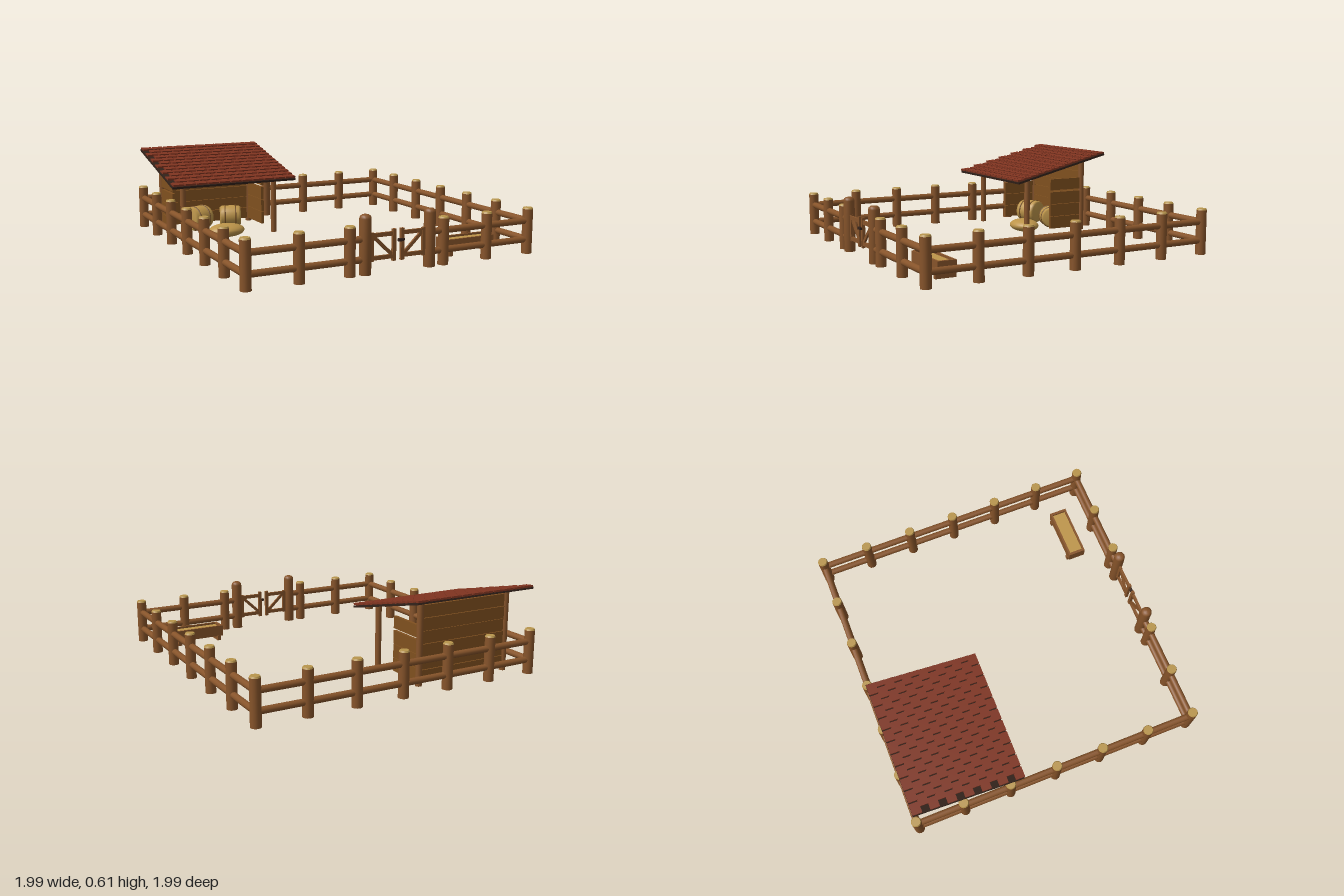
import * as THREE from 'three';

const mat = (name, color) => {
  const m = new THREE.MeshStandardMaterial({ color });
  m.name = name;
  return m;
};

export function createModel() {
  const wood = mat('wood', 0x87542a);
  const plankWood = mat('plankWood', 0x80501f);
  const cutWood = mat('cutWood', 0xb8954c);
  const straw = mat('straw', 0xbd954a);
  const twine = mat('twine', 0x7a5426);
  const tileRed = mat('tileRed', 0x803420);
  const darkWood = mat('darkWood', 0x33221a);

  const model = new THREE.Group();
  model.name = 'paddock';
  const group = (name, parent = model) => {
    const g = new THREE.Group();
    g.name = name;
    parent.add(g);
    return g;
  };
  const add = (parent, name, geo, material, x = 0, y = 0, z = 0) => {
    const m = new THREE.Mesh(geo, material);
    m.name = name;
    m.position.set(x, y, z);
    parent.add(m);
    return m;
  };
  const box = (parent, name, material, w, h, d, x, y, z) =>
    add(parent, name, new THREE.BoxGeometry(w, h, d), material, x, y, z);
  // Round pole between two points
  const pole = (parent, name, a, b, r, material = wood) => {
    const p = new THREE.Vector3(...a), q = new THREE.Vector3(...b);
    const dir = q.clone().sub(p);
    const m = add(parent, name, new THREE.CylinderGeometry(r, r, dir.length(), 12), material);
    m.position.copy(p).add(q).multiplyScalar(0.5);
    m.quaternion.setFromUnitVectors(new THREE.Vector3(0, 1, 0), dir.normalize());
    return m;
  };

  const GROUND = 0.04, EDGE = 0.96;

  // Fence posts with pale cut tops
  const fence = group('fence');
  const fencePost = (x, z) => {
    pole(fence, 'fencePost', [x, GROUND, z], [x, 0.325, z], 0.033);
    add(fence, 'postTop', new THREE.CylinderGeometry(0.028, 0.033, 0.01, 16), cutWood, x, 0.33, z);
  };
  for (let i = -3; i <= 3; i++) {
    const t = i * 0.32;
    fencePost(t, -EDGE);
    if (i !== 0) fencePost(t, EDGE);
    if (Math.abs(i) < 3) for (const s of [-1, 1]) fencePost(s * EDGE, t);
  }

  // Fence rails, with an opening at the gate
  for (const y of [0.13, 0.25]) {
    pole(fence, 'backRail', [-EDGE, y, -EDGE], [EDGE, y, -EDGE], 0.021);
    for (const s of [-1, 1]) {
      pole(fence, 'sideRail', [s * EDGE, y, -EDGE], [s * EDGE, y, EDGE], 0.021);
      pole(fence, 'frontRail', [s * 0.22, y, EDGE], [s * EDGE, y, EDGE], 0.021);
    }
  }

  // Gate: round-topped posts and two braced leaves
  const gate = group('gate');
  for (const s of [-1, 1]) {
    const profile = [[0, 0.04], [0.036, 0.04], [0.036, 0.37], [0.032, 0.384], [0.02, 0.393], [0, 0.396]];
    add(gate, 'gatePost', new THREE.LatheGeometry(profile.map(p => new THREE.Vector2(...p)), 16),
      wood, s * 0.22, 0, EDGE);
    const leaf = group('gateLeaf', gate);
    for (const y of [0.13, 0.265])
      box(leaf, 'gateRail', wood, 0.16, 0.024, 0.016, s * 0.105, y, EDGE);
    box(leaf, 'innerStile', wood, 0.022, 0.19, 0.02, s * 0.028, 0.197, EDGE);
    box(leaf, 'outerStile', wood, 0.02, 0.17, 0.018, s * 0.176, 0.197, EDGE);
    const brace = box(leaf, 'brace', wood, 0.185, 0.02, 0.013, s * 0.102, 0.197, EDGE);
    brace.rotation.z = s * 0.75;
  }
  box(gate, 'latch', darkWood, 0.04, 0.016, 0.018, 0.012, 0.225, EDGE + 0.014);

  // Shed: corner posts and plank walls
  const shed = group('shed');
  const L = -0.86, R = -0.2, FRONT = -0.367, BACK = -0.83;
  for (const x of [L, R]) {
    pole(shed, 'shedFrontPost', [x, GROUND, FRONT], [x, 0.45, FRONT], 0.02);
    pole(shed, 'shedBackPost', [x, GROUND, BACK], [x, 0.565, BACK], 0.021);
    for (let i = 0; i < 4; i++)
      box(shed, 'sidePlank', plankWood, 0.02, i === 3 ? 0.08 : 0.087, 0.255,
        x, i === 3 ? 0.384 : 0.106 + i * 0.09, -0.688);
  }
  for (let i = 0; i < 6; i++)
    box(shed, 'backPlank', plankWood, R - L + 0.03, 0.079, 0.022 - (i % 2) * 0.004,
      (L + R) / 2, 0.1 + i * 0.082, BACK);

  // Sloping roof: dark deck under staggered overlapping tiles
  const roof = group('roof', shed);
  roof.position.set(-0.531, 0.511, -0.596);
  roof.rotation.x = 0.237;
  const WIDTH = 0.882, LENGTH = 0.744, COLS = 11, ROWS = 13;
  box(roof, 'roofDeck', darkWood, WIDTH, 0.014, LENGTH, 0, 0, 0);
  const colStep = WIDTH / COLS, rowStep = LENGTH / ROWS;
  for (let r = 0; r < ROWS; r++) {
    const shift = (r % 2) * colStep / 2;
    for (let c = 0; c < COLS; c++) {
      const x0 = -WIDTH / 2 + c * colStep + shift;
      const x1 = Math.min(x0 + colStep, WIDTH / 2);
      const tile = box(roof, 'roofTile', tileRed, x1 - x0 - 0.009, 0.012, rowStep + 0.004,
        (x0 + x1) / 2, 0.014, -LENGTH / 2 + (r + 0.5) * rowStep);
      tile.rotation.x = -0.13;
    }
  }

  // Round straw bales tied with twine
  const bale = (x, z, r, length, yaw) => {
    const g = group('strawBale');
    g.position.set(x, GROUND + r, z);
    g.rotation.y = yaw;
    const h = length / 2;
    const profile = [[0, -h], [r * 0.85, -h], [r * 0.96, -h * 0.8], [r, 0], [r * 0.96, h * 0.8], [r * 0.85, h], [0, h]];
    const body = add(g, 'baleBody',
      new THREE.LatheGeometry(profile.map(p => new THREE.Vector2(...p)), 20), straw);
    body.rotation.z = Math.PI / 2;
    for (const t of [-0.5, 0.5]) {
      const band = add(g, 'twineBand', new THREE.TorusGeometry(r * 0.98, 0.005, 6, 24), twine, t * h);
      band.rotation.y = Math.PI / 2;
    }
  };
  bale(-0.65, -0.67, 0.086, 0.16, 0.35);
  bale(-0.4, -0.69, 0.076, 0.15, -0.35);

  // Loose straw heap
  const heap = add(model, 'strawHeap', new THREE.SphereGeometry(1, 24, 14), straw, -0.495, 0.05, -0.52);
  heap.scale.set(0.13, 0.047, 0.1);

  // Feeding trough on cross feet
  const trough = group('trough');
  trough.position.set(0.628, 0, 0.758);
  box(trough, 'troughFloor', wood, 0.34, 0.015, 0.1, 0, 0.078, 0);
  for (const s of [-1, 1]) {
    box(trough, 'troughSide', wood, 0.36, 0.075, 0.013, 0, 0.108, s * 0.053);
    box(trough, 'troughEnd', wood, 0.018, 0.075, 0.1, s * 0.171, 0.108, 0);
    box(trough, 'troughFoot', wood, 0.025, 0.034, 0.13, s * 0.148, 0.057, 0);
  }
  box(trough, 'feed', straw, 0.33, 0.045, 0.096, 0, 0.11, 0);

  return model;
}
